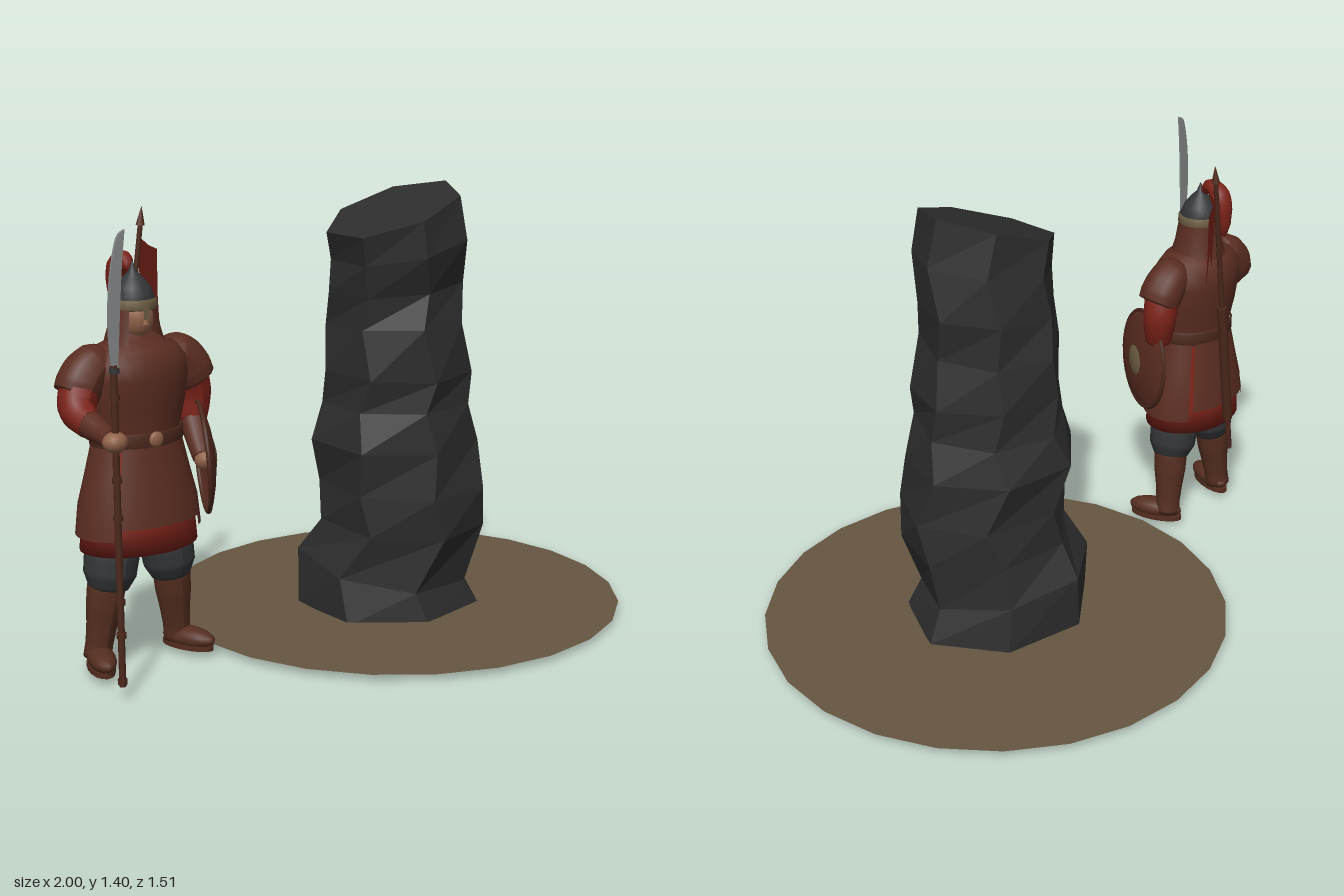
import * as THREE from 'three';

const V = (x, y, z) => new THREE.Vector3(x, y, z);
const V2 = (x, y) => new THREE.Vector2(x, y);

function material(name, color, double = false) {
  const m = new THREE.MeshStandardMaterial({ color, side: double ? THREE.DoubleSide : THREE.FrontSide });
  m.name = name;
  return m;
}
const stone = material('stone', 0x2d2d2e);
const earth = material('earth', 0x665542, true);
const leather = material('leather', 0x5a2d21, true);
const boot = material('boot leather', 0x552e20);
const red = material('red cloth', 0x7a2218, true);
const skin = material('skin', 0x8f6147);
const iron = material('dark iron', 0x343638, true);
const steel = material('steel', 0x85878a);
const brass = material('dull brass', 0x6d5d42);
const wood = material('wood', 0x4c281c);

function add(parent, name, geo, mat, pos = [0, 0, 0], rot = [0, 0, 0], scale = [1, 1, 1]) {
  const m = new THREE.Mesh(geo, mat);
  m.name = name;
  m.position.set(...pos);
  m.rotation.set(...rot);
  m.scale.set(...scale);
  parent.add(m);
  return m;
}

// Revolved profile of [radius, y] pairs, listed upwards
const lathe = (pts, seg = 28, start = 0, len = Math.PI * 2) =>
  new THREE.LatheGeometry(pts.map(p => V2(...p)), seg, start, len);

// Straight tapered rod between two points
function rod(parent, name, mat, a, b, ra, rb = ra, sides = 10) {
  const dir = b.clone().sub(a);
  const m = add(parent, name, new THREE.CylinderGeometry(rb, ra, dir.length(), sides), mat);
  m.position.copy(a).addScaledVector(dir, 0.5);
  m.quaternion.setFromUnitVectors(V(0, 1, 0), dir.normalize());
  return m;
}

// Tube along a curve whose radius follows a list of values; the ends close
function limb(parent, name, mat, pts, radii, sides = 14) {
  const curve = new THREE.CatmullRomCurve3(pts);
  const n = 20, geo = new THREE.TubeGeometry(curve, n, 1, sides);
  const p = geo.attributes.position, v = V(0, 0, 0);
  for (let i = 0; i <= n; i++) {
    const t = i / n, f = t * (radii.length - 1), k = Math.min(Math.floor(f), radii.length - 2);
    const r = i === 0 || i === n ? 0.0005 : THREE.MathUtils.lerp(radii[k], radii[k + 1], f - k);
    const c = curve.getPointAt(t);
    for (let j = 0; j <= sides; j++) {
      const q = i * (sides + 1) + j;
      v.fromBufferAttribute(p, q).sub(c).multiplyScalar(r).add(c);
      p.setXYZ(q, v.x, v.y, v.z);
    }
  }
  geo.computeVertexNormals();
  return add(parent, name, geo, mat);
}

// Faceted seven-sided rock column with uneven, tilted rings
function rockPillar(parent) {
  // y, xMin, xMax, zMin, zMax, slope along x, slope along z
  const rings = [
    [0.02, -0.055, 0.54, -0.28, 0.30, 0.01, -0.068], [0.155, -0.055, 0.49, -0.28, 0.26, -0.08, -0.19],
    [0.30, -0.01, 0.52, -0.215, 0.31, -0.03, -0.06], [0.43, -0.015, 0.525, -0.21, 0.305, -0.02, -0.04],
    [0.58, -0.04, 0.50, -0.225, 0.30, 0, -0.04], [0.70, -0.003, 0.46, -0.195, 0.275, 0, 0],
    [0.81, -0.005, 0.46, -0.18, 0.29, 0, -0.05], [0.96, 0.005, 0.42, -0.18, 0.27, 0, 0.03],
    [1.08, 0, 0.435, -0.15, 0.255, 0.08, 0], [1.21, -0.005, 0.42, -0.135, 0.29, 0.2, 0],
    [1.33, -0.025, 0.39, -0.12, 0.285, 0.34, 0]];
  const N = 7, pos = [], idx = [];
  rings.forEach(([y, x0, x1, z0, z1, sx, sz], i) => {
    const twist = i === 0 || i === rings.length - 1 ? 0 : (i % 2 ? 0.07 : -0.07);
    const ang = Array.from({ length: N }, (_, j) => j / N * Math.PI * 2 + twist);
    const c = ang.map(Math.cos), s = ang.map(Math.sin);
    const fit = (v, list, a, b) => THREE.MathUtils.mapLinear(v, Math.min(...list), Math.max(...list), a, b);
    for (let j = 0; j < N; j++) {
      const x = fit(c[j], c, x0, x1), z = fit(s[j], s, z0, z1);
      pos.push(x, y + sx * (x - (x0 + x1) / 2) + sz * (z - (z0 + z1) / 2), z);
      if (i) {
        const a = (i - 1) * N + j, b = (i - 1) * N + (j + 1) % N;
        idx.push(a, a + N, b, b, a + N, b + N);
      }
    }
  });
  const top = (rings.length - 1) * N;
  for (let j = 1; j < N - 1; j++) idx.push(0, j, j + 1, top, top + j + 1, top + j);
  let geo = new THREE.BufferGeometry();
  geo.setAttribute('position', new THREE.Float32BufferAttribute(pos, 3));
  geo.setIndex(idx);
  geo = geo.toNonIndexed();
  geo.computeVertexNormals();
  add(parent, 'rockPillar', geo, stone);
}

// Warrior body, built around the local origin (x and z)
function body(g) {
  const flat = [1, 1, 0.73];
  add(g, 'coat', lathe([[0.138, 0.68], [0.14, 0.74], [0.158, 0.82], [0.17, 0.9], [0.165, 0.95],
    [0.135, 0.985], [0.085, 1.005], [0.05, 1.03]]), leather, [0, 0, 0], [0, 0, 0], flat);
  add(g, 'underSkirt', lathe([[0, 0.4], [0.19, 0.38], [0.183, 0.46], [0.155, 0.6], [0.132, 0.72]]), red, [0, 0, 0], [0, 0, 0], flat);
  // four skirt panels with slits between them
  for (let i = 0; i < 4; i++) {
    const low = i % 2 ? 0.43 : 0.465;
    add(g, 'skirtPanel', lathe([[0.202, low], [0.192, 0.52], [0.168, 0.61], [0.143, 0.71]], 10,
      i * Math.PI / 2 - 0.74, 1.48), leather, [0, 0, 0], [0, 0, 0], flat);
  }
  add(g, 'belt', lathe([[0.142, 0.695], [0.15, 0.7], [0.15, 0.735], [0.142, 0.74]]), wood, [0, 0, 0], [0, 0, 0], flat);
  add(g, 'buckle', new THREE.SphereGeometry(0.024, 14, 10), skin, [0, 0.72, 0.108], [0, 0, 0], [1, 1, 0.5]);
  for (const s of [-1, 1]) {
    limb(g, 'trouserLeg', iron, [V(s * 0.08, 0.46, 0), V(s * 0.1, 0.34, 0), V(s * 0.113, 0.25, 0)], [0.07, 0.08, 0.083, 0.08, 0.055]);
    limb(g, 'bootShaft', boot, [V(s * 0.11, 0.32, 0), V(s * 0.128, 0.17, -0.01), V(s * 0.147, 0.03, -0.02)],
      [0.052, 0.058, 0.055, 0.047, 0.042, 0.043]);
    add(g, 'bootFoot', new THREE.SphereGeometry(1, 16, 10), boot, [s * 0.157, 0.052, 0.025], [0, s * 0.35, 0], [0.042, 0.034, 0.095]);
    add(g, 'bootSole', new THREE.CylinderGeometry(1, 1, 0.016, 16), boot, [s * 0.157, 0.028, 0.02], [0, s * 0.35, 0], [0.04, 1, 0.092]);
    limb(g, 'shoulderGuard', leather, [V(s * 0.1, 0.965, 0), V(s * 0.165, 0.925, 0), V(s * 0.21, 0.855, 0.005)],
      [0.045, 0.065, 0.07, 0.072, 0.066]);
  }
  // right arm reaches forward to the polearm, left arm carries the shield
  limb(g, 'rightSleeve', red, [V(-0.18, 0.91, 0), V(-0.222, 0.83, 0.04), V(-0.222, 0.79, 0.12)], [0.06, 0.06, 0.056, 0.046, 0.04]);
  limb(g, 'rightForearm', leather, [V(-0.222, 0.8, 0.1), V(-0.22, 0.785, 0.16), V(-0.22, 0.775, 0.22)], [0.042, 0.038, 0.032, 0.03]);
  add(g, 'rightHand', new THREE.SphereGeometry(0.034, 14, 10), skin, [-0.218, 0.77, 0.232], [0, 0, 0], [1.1, 0.9, 1]);
  limb(g, 'leftSleeve', red, [V(0.18, 0.91, 0), V(0.21, 0.82, -0.01), V(0.2, 0.72, 0)], [0.06, 0.058, 0.056, 0.05, 0.042]);
  limb(g, 'leftForearm', leather, [V(0.2, 0.74, 0), V(0.185, 0.68, 0.05), V(0.17, 0.63, 0.1)], [0.04, 0.038, 0.034, 0.03]);
  add(g, 'leftHand', new THREE.SphereGeometry(0.03, 12, 8), skin, [0.17, 0.63, 0.105]);
}

function head(g) {
  add(g, 'face', new THREE.SphereGeometry(0.055, 18, 14), skin, [0, 1.068, 0.012], [0, 0, 0], [0.92, 1.15, 1]);
  add(g, 'nose', new THREE.ConeGeometry(0.011, 0.035, 6), skin, [0, 1.073, 0.066]);
  add(g, 'helmetDome', lathe([[0.066, 1.1], [0.064, 1.13], [0.052, 1.16], [0.032, 1.185], [0.012, 1.205], [0.001, 1.235]], 20), iron);
  add(g, 'browBand', lathe([[0.066, 1.095], [0.071, 1.1], [0.07, 1.122], [0.064, 1.126]], 24), brass);
  add(g, 'noseGuard', new THREE.BoxGeometry(0.014, 0.04, 0.008), brass, [0, 1.09, 0.071]);
  // flared neck guard, open at the face
  add(g, 'neckGuard', lathe([[0.092, 0.99], [0.078, 1.04], [0.067, 1.11]], 22, 0.75, Math.PI * 2 - 1.5), leather);
  limb(g, 'plume', red, [V(0, 1.2, -0.015), V(0, 1.232, -0.04), V(0.005, 1.21, -0.085), V(0.008, 1.13, -0.105), V(0.008, 1.07, -0.11)],
    [0.012, 0.026, 0.034, 0.032, 0.024, 0.006]);
}

function polearm(g) {
  const x = -0.943, z = 0.205;
  rod(g, 'polearmShaft', wood, V(x, 0.045, z), V(x - 0.002, 0.99, z), 0.0105);
  for (const y of [0.06, 0.2, 0.3, 0.55, 0.66, 0.9, 0.975])
    add(g, 'shaftRing', new THREE.CylinderGeometry(0.0145, 0.0145, 0.016, 10), y > 0.95 ? iron : wood, [x, y, z]);
  // curved single-edged blade
  const s = new THREE.Shape();
  s.moveTo(-0.952, 0.98);
  s.splineThru([V2(-0.959, 1.1), V2(-0.951, 1.23), V2(-0.927, 1.34), V2(-0.9, 1.365)]);
  s.splineThru([V2(-0.912, 1.26), V2(-0.922, 1.13), V2(-0.932, 0.98)]);
  add(g, 'polearmBlade', new THREE.ExtrudeGeometry(s, { depth: 0.008, bevelEnabled: false, curveSegments: 14 }), steel, [0, 0, z - 0.004]);
}

function shield(g) {
  const s = new THREE.Group();
  s.name = 'shield';
  add(s, 'shieldFace', lathe([[0.17, 0], [0.15, 0.013], [0.1, 0.026], [0.05, 0.034], [0, 0.036]], 32), leather);
  add(s, 'shieldRim', new THREE.TorusGeometry(0.167, 0.007, 8, 36), wood, [0, 0, 0], [Math.PI / 2, 0, 0]);
  add(s, 'shieldBoss', lathe([[0.053, 0.031], [0.05, 0.036], [0.025, 0.041], [0, 0.043]], 12), brass, [0, 0, 0], [0, 0, 0], [1, 1, 0.9]);
  s.position.set(-0.54, 0.63, 0.042);
  s.quaternion.setFromUnitVectors(V(0, 1, 0), V(0.885, 0.06, 0.46).normalize());
  g.add(s);
}

function backBanner(g) {
  const a = V(-0.738, 0.29, -0.19), b = V(-0.594, 1.31, -0.19);
  rod(g, 'bannerPole', wood, a, b, 0.01, 0.008);
  rod(g, 'bannerHolder', wood, a.clone().lerp(b, 0.12), a.clone().lerp(b, 0.55), 0.016);
  rod(g, 'bannerTip', boot, b, V(-0.588, 1.365, -0.19), 0.014, 0.001, 8);
  const s = new THREE.Shape([[0, 1.273], [0.05, 1.243], [0.1, 1.225], [0.096, 1.097], [0.107, 0.958],
    [0.06, 1.092], [0.018, 1.022], [0.01, 1.1], [-0.011, 1.177]].map(p => V2(...p)));
  add(g, 'banner', new THREE.ShapeGeometry(s), red, [-0.596, 0, -0.19], [0, 0.46, 0]);
}

export function createModel() {
  const root = new THREE.Group();
  root.name = 'warriorAndRock';
  add(root, 'groundDisc', new THREE.CircleGeometry(0.753, 24), earth, [0.247, 0.02, 0], [-Math.PI / 2, 0, 0]);
  rockPillar(root);

  const warrior = new THREE.Group();
  warrior.name = 'warrior';
  const figure = new THREE.Group();
  figure.name = 'figure';
  figure.position.set(-0.727, 0, -0.03);
  body(figure);
  head(figure);
  warrior.add(figure);
  polearm(warrior);
  shield(warrior);
  backBanner(warrior);
  root.add(warrior);
  return root;
}
